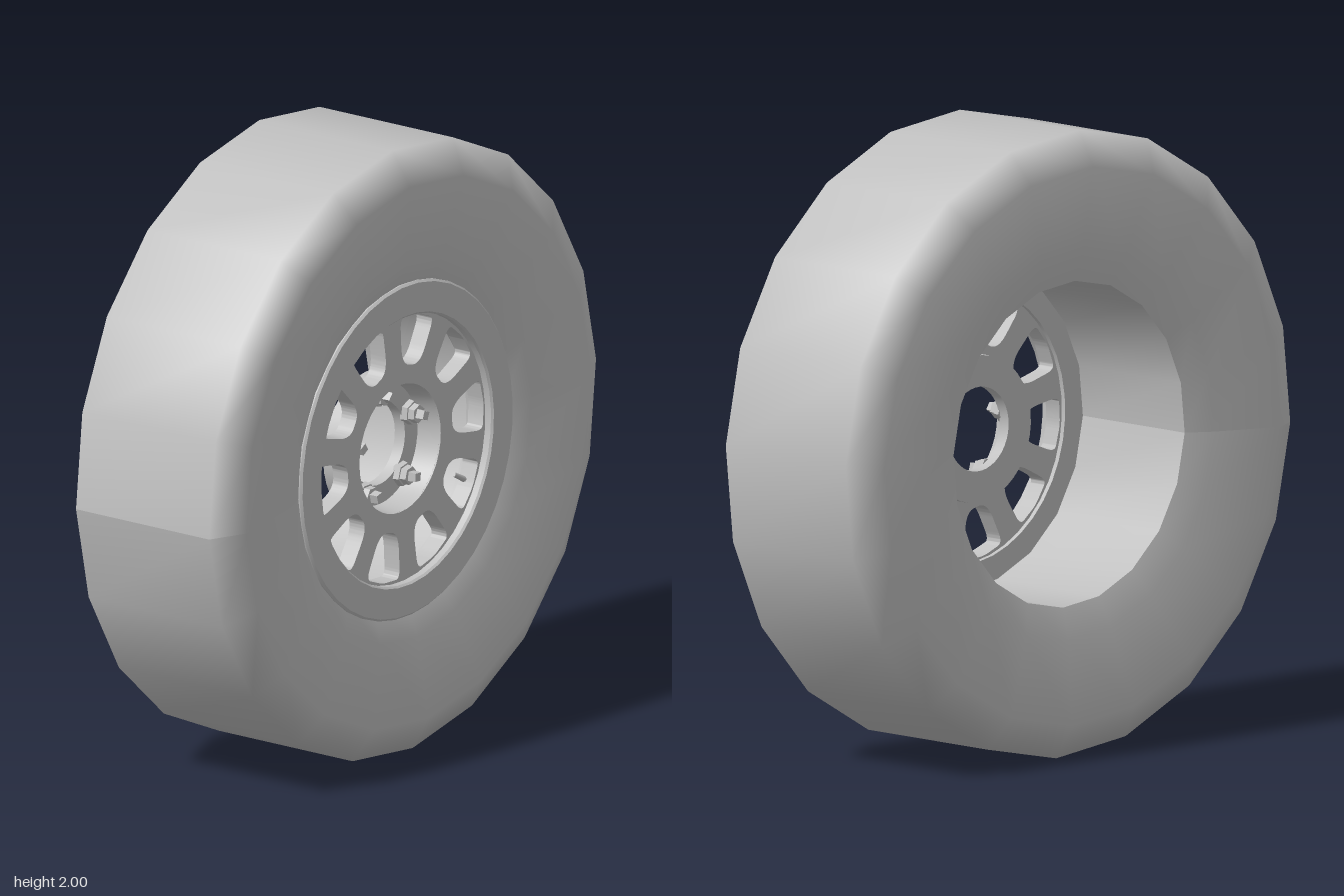
import * as THREE from 'three';
import { toCreasedNormals } from 'three/addons/utils/BufferGeometryUtils.js';

const rad = THREE.MathUtils.degToRad;

export function createModel() {
  const grey = new THREE.MeshStandardMaterial({ color: 0xc0c0c0 });
  grey.name = 'plain grey';

  const wheel = new THREE.Group();
  wheel.name = 'wheel';
  wheel.position.y = 1;

  // Revolved part around the x axle; profile is [radius, x]
  function revolve(name, profile, sides, smooth) {
    const pts = profile.map(([r, x]) => new THREE.Vector2(r, x));
    let geo = new THREE.LatheGeometry(pts, sides, rad(3));
    if (smooth) geo.computeVertexNormals();
    else geo = toCreasedNormals(geo, 0.6);
    geo.rotateZ(-Math.PI / 2);
    const mesh = new THREE.Mesh(geo, grey);
    mesh.name = name;
    wheel.add(mesh);
  }

  // Tyre with chamfered shoulders and dished sidewalls
  revolve('tyre', [
    [0.52, -0.27], [0.62, -0.3], [0.89, -0.33], [1, -0.265],
    [1, 0.265], [0.89, 0.33], [0.62, 0.3], [0.53, 0.265],
  ], 20, true);

  // Inside of the rim, open at the back
  revolve('barrel', [[0.52, 0.19], [0.52, -0.27]], 20, true);

  // Outer rim lip
  revolve('rimLip', [
    [0.44, 0.18], [0.55, 0.18], [0.55, 0.278], [0.543, 0.285],
    [0.446, 0.285], [0.44, 0.278], [0.44, 0.18],
  ], 40, false);

  // Recessed hub with an open centre
  revolve('hub', [
    [0.135, 0.13], [0.235, 0.13], [0.235, 0.25], [0.21, 0.25],
    [0.2, 0.17], [0.135, 0.17], [0.135, 0.13],
  ], 40, false);

  // Wheel face, drawn in x-y and turned towards +x
  const face = new THREE.Group();
  face.name = 'wheelFace';
  face.rotation.y = Math.PI / 2;
  wheel.add(face);

  // Tapered window with rounded corners, centred on a clockwise angle from the top
  function windowPath(angle) {
    const corners = [[-0.048, 0.27], [0.048, 0.27], [0.088, 0.42], [0, 0.434], [-0.088, 0.42]]
      .map(([x, y]) => new THREE.Vector2(x, y).rotateAround(new THREE.Vector2(), -angle));
    const round = [0.4, 0.4, 0.25, 0.25, 0.25];
    const path = new THREE.Path();
    corners.forEach((c, i) => {
      const prev = corners[(i + 4) % 5], next = corners[(i + 1) % 5];
      const a = c.clone().lerp(prev, round[i]), b = c.clone().lerp(next, round[i]);
      if (i === 0) path.moveTo(a.x, a.y);
      else path.lineTo(a.x, a.y);
      path.quadraticCurveTo(c.x, c.y, b.x, b.y);
    });
    path.closePath();
    return path;
  }

  // Ten-spoke disc
  const disc = new THREE.Shape().absarc(0, 0, 0.45, 0, Math.PI * 2);
  disc.holes.push(new THREE.Path().absarc(0, 0, 0.21, 0, Math.PI * 2, true));
  for (let i = 0; i < 10; i++) disc.holes.push(windowPath(rad(12 + 36 * i)));
  const discGeo = new THREE.ExtrudeGeometry(disc, { depth: 0.06, bevelEnabled: false, curveSegments: 20 });
  const spokes = new THREE.Mesh(toCreasedNormals(discGeo, 0.6), grey);
  spokes.name = 'spokes';
  spokes.position.z = 0.195;
  face.add(spokes);

  // Prism standing along the axle, between two depths
  function prism(parent, name, r0, r1, sides, from, to) {
    const geo = new THREE.CylinderGeometry(r1, r0, to - from, sides).rotateX(Math.PI / 2);
    const mesh = new THREE.Mesh(toCreasedNormals(geo, 0.6), grey);
    mesh.name = name;
    mesh.position.z = (from + to) / 2;
    parent.add(mesh);
  }

  // Five wheel nuts with square studs
  for (let i = 0; i < 5; i++) {
    const nut = new THREE.Group();
    nut.name = 'wheelNut';
    const a = rad(-6 + 72 * i);
    nut.position.set(Math.sin(a) * 0.168, Math.cos(a) * 0.168, 0);
    nut.rotation.z = -a;
    prism(nut, 'nutBase', 0.042, 0.038, 6, 0.165, 0.19);
    prism(nut, 'nutBody', 0.032, 0.03, 6, 0.19, 0.212);
    prism(nut, 'stud', 0.021, 0.019, 4, 0.21, 0.24);
    face.add(nut);
  }

  // Valve stem pointing in from the rim
  const valve = new THREE.Mesh(new THREE.CylinderGeometry(0.008, 0.011, 0.1, 8), grey);
  valve.name = 'valveStem';
  valve.position.set(0.373, -0.197, 0.215);
  valve.rotation.z = rad(62);
  face.add(valve);

  const model = new THREE.Group();
  model.name = 'model';
  model.add(wheel);
  return model;
}
